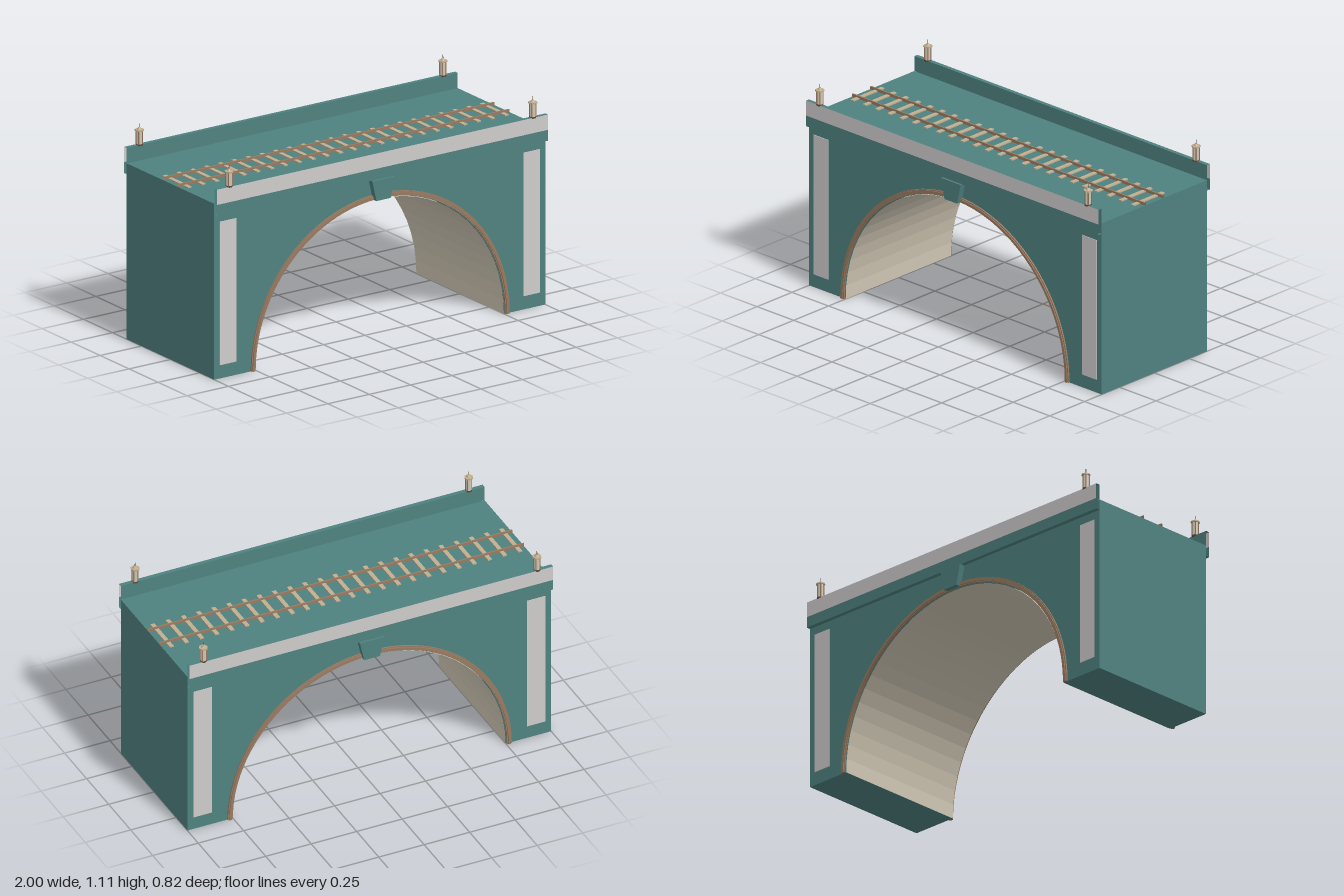
import * as THREE from 'three';

function mat(name, color, side = THREE.FrontSide) {
  return Object.assign(new THREE.MeshStandardMaterial({ color, side, flatShading: true }), { name });
}

export function createModel() {
  const teal = mat('teal stone', 0x4f8280);
  const tealOpen = mat('teal sheet', 0x4f8280, THREE.DoubleSide);
  const grey = mat('pale grey panel', 0xcfcccc, THREE.DoubleSide);
  const cream = mat('cream lining', 0xd2c9b6, THREE.DoubleSide);
  const tan = mat('tan wood', 0xc2ae90);
  const brown = mat('brown trim', 0x9a7b62, THREE.DoubleSide);
  const dark = mat('dark metal', 0x5a4a40);

  const model = new THREE.Group();
  model.name = 'archBridge';

  function add(parent, name, geometry, material, x = 0, y = 0, z = 0) {
    const mesh = new THREE.Mesh(geometry, material);
    mesh.name = name;
    mesh.position.set(x, y, z);
    parent.add(mesh);
    return mesh;
  }

  function extrude(shape, depth) {
    return new THREE.ExtrudeGeometry(shape, { depth, bevelEnabled: false, curveSegments: 32 });
  }

  // Open-ended strip: a [z, y] profile swept along the full length in x
  function sweep(profile) {
    const pos = [], index = [];
    for (const [z, y] of profile) pos.push(-1, y, z, 1, y, z);
    for (let i = 0; i < profile.length - 1; i++) {
      const a = i * 2;
      index.push(a, a + 1, a + 2, a + 1, a + 3, a + 2);
    }
    const g = new THREE.BufferGeometry();
    g.setAttribute('position', new THREE.Float32BufferAttribute(pos, 3));
    g.setIndex(index);
    const flat = g.toNonIndexed();
    flat.computeVertexNormals();
    return flat;
  }

  // Half ring standing on the ground
  function archRing(inner, outer) {
    const s = new THREE.Shape();
    s.absarc(0, 0, outer, 0, Math.PI, false);
    s.absarc(0, 0, inner, Math.PI, 0, true);
    s.closePath();
    return s;
  }

  // Main block with the arch opening
  const R = 0.752, HALF = 0.377, DECK = 0.92;
  const block = new THREE.Shape();
  block.moveTo(R, 0);
  block.lineTo(1, 0);
  block.lineTo(1, DECK);
  block.lineTo(-1, DECK);
  block.lineTo(-1, 0);
  block.lineTo(-R, 0);
  block.absarc(0, 0, R, Math.PI, 0, true);
  add(model, 'body', extrude(block, HALF * 2), teal, 0, 0, -HALF);

  // Cream underside of the arch
  const lining = new THREE.CylinderGeometry(0.75, 0.75, HALF * 2, 32, 1, true, Math.PI / 2, Math.PI);
  lining.rotateX(Math.PI / 2);
  add(model, 'archLining', lining, cream);

  // One decorated face, repeated on the back
  function buildFace(name) {
    const face = new THREE.Group();
    face.name = name;

    // Parapet wall, open at both ends, with a grey outer band
    add(face, 'parapet', sweep([
      [0.4, 0.92], [0.4, 0.863], [0.377, 0.863],
    ].reverse()), tealOpen);
    add(face, 'parapetTop', sweep([
      [0.4, 1], [0.378, 1], [0.378, DECK],
    ]), tealOpen);
    add(face, 'parapetBand', sweep([[0.4, 0.92], [0.4, 1]]), grey);

    // Stepped moulding round the arch
    add(face, 'archMoulding', extrude(archRing(0.755, 0.78), 0.008), brown, 0, 0, HALF);
    add(face, 'archMouldingRaised', extrude(archRing(0.76, 0.774), 0.013), brown, 0, 0, HALF);

    // Tapered keystone
    const key = new THREE.Shape([
      [-0.043, 0.755], [0.043, 0.755], [0.067, 0.862], [-0.067, 0.862],
    ].map(([x, y]) => new THREE.Vector2(x, y)));
    add(face, 'keystone', extrude(key, 0.034), teal, 0, 0, 0.376);

    for (const side of [-1, 1]) {
      // Tall pier panel
      add(face, 'pierPanel', new THREE.BoxGeometry(0.1, 0.75, 0.004), grey, side * 0.917, 0.445, HALF + 0.001);
      face.add(buildLantern(side * 0.917, 0.387));
    }
    model.add(face);
    return face;
  }

  // Small lantern: base, glass, corner posts, cap and spike
  function buildLantern(x, z) {
    const lantern = new THREE.Group();
    lantern.name = 'lantern';
    lantern.position.set(x, 1, z);
    const disc = (name, r1, r2, h, y, m) =>
      add(lantern, name, new THREE.CylinderGeometry(r1, r2, h, 8), m, 0, y, 0);
    disc('lanternBase', 0.018, 0.018, 0.008, 0, dark);
    disc('lanternGlass', 0.015, 0.015, 0.07, 0.038, cream);
    for (let i = 0; i < 4; i++) {
      const a = (i + 0.5) * Math.PI / 2;
      add(lantern, 'lanternPost', new THREE.BoxGeometry(0.004, 0.07, 0.004), brown,
        Math.cos(a) * 0.0155, 0.038, Math.sin(a) * 0.0155);
    }
    disc('lanternCap', 0.023, 0.023, 0.007, 0.076, tan);
    disc('lanternCrown', 0.006, 0.013, 0.011, 0.085, tan);
    disc('lanternSpike', 0.0015, 0.002, 0.02, 0.1, dark);
    return lantern;
  }

  buildFace('frontFace');
  buildFace('backFace').rotation.y = Math.PI;

  // Railway track
  const track = new THREE.Group();
  track.name = 'track';
  for (let i = 0; i < 24; i++) {
    add(track, 'sleeper', new THREE.BoxGeometry(0.022, 0.006, 0.22), tan, -0.96 + i * 0.0833, DECK + 0.003, 0);
  }
  for (const z of [-0.065, 0.065]) {
    add(track, 'rail', sweep([
      [z + 0.004, DECK], [z + 0.004, 0.935], [z - 0.004, 0.935], [z - 0.004, DECK],
    ]), brown);
  }
  model.add(track);

  return model;
}
